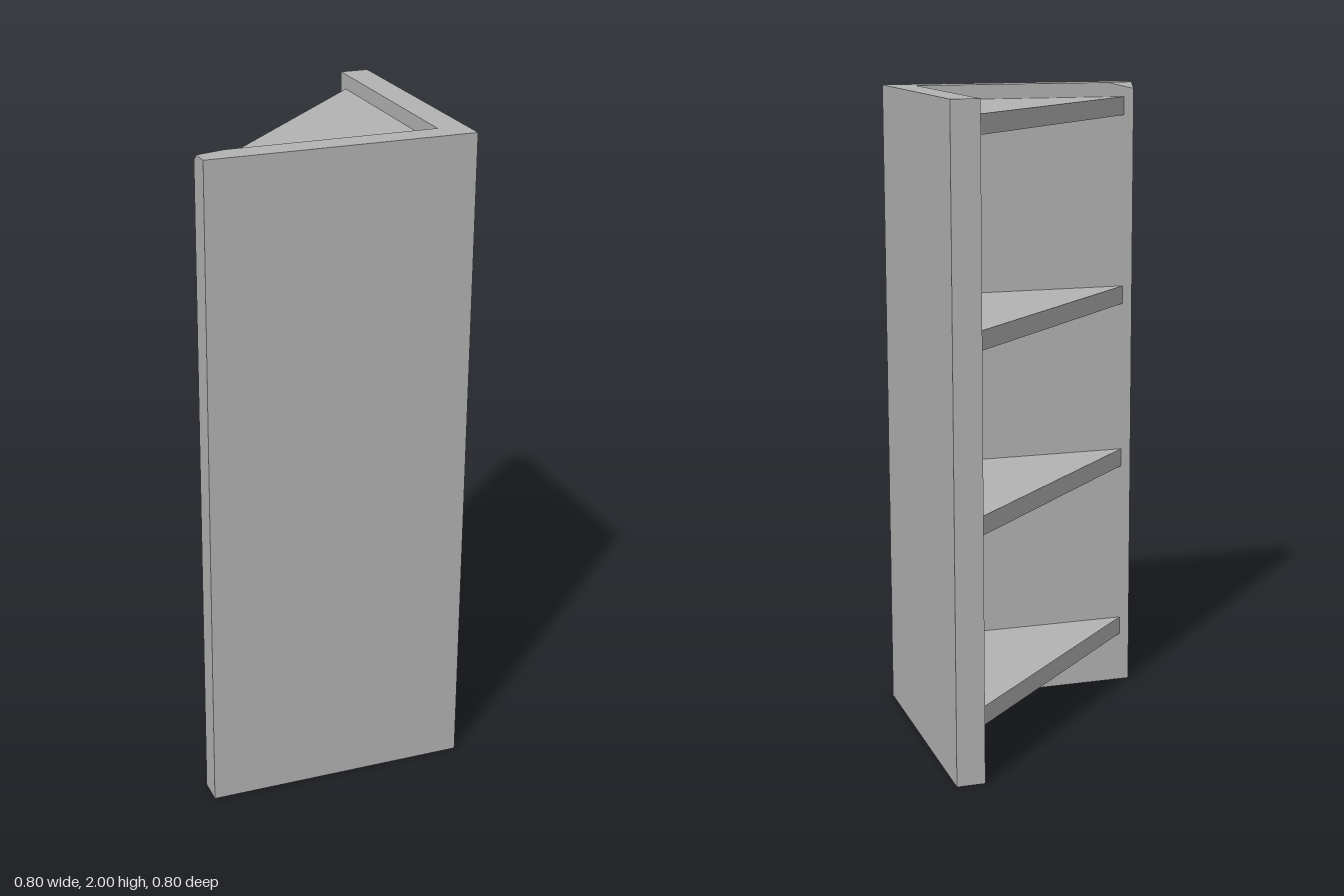
import * as THREE from 'three';
import { ConvexGeometry } from 'three/addons/geometries/ConvexGeometry.js';

export function createModel() {
  const model = new THREE.Group();
  model.name = 'cornerShelf';
  const grey = new THREE.MeshStandardMaterial({ color: 0xb3b3b3 });
  grey.name = 'grey';

  const H = 2, R = 0.4;          // height, half width
  const innerX = 0.313, innerZ = 0.32; // inner faces of the two walls

  const add = (name, geometry) => {
    const mesh = new THREE.Mesh(geometry, grey);
    mesh.name = name;
    model.add(mesh);
    return mesh;
  };

  // side wall, full depth
  add('sideWall', new THREE.BoxGeometry(R - innerX, H, 2 * R))
    .position.set((R + innerX) / 2, H / 2, 0);

  // front wall, with its free upper inner corner chipped off
  const corners = [];
  for (const x of [-R, innerX])
    for (const y of [0, H])
      for (const z of [innerZ, R])
        if (!(x === -R && y === H && z === innerZ)) corners.push(new THREE.Vector3(x, y, z));
  corners.push(
    new THREE.Vector3(-R, H, 0.343),
    new THREE.Vector3(-0.312, H, innerZ),
    new THREE.Vector3(-R, H - 0.02, innerZ)
  );
  add('frontWall', new ConvexGeometry(corners));

  // four triangular shelves fitted into the corner
  const thickness = 0.058, leg = 0.681;
  const triangle = new THREE.Shape([
    new THREE.Vector2(innerX, -innerZ),
    new THREE.Vector2(innerX, leg - innerZ),
    new THREE.Vector2(innerX - leg, -innerZ),
  ]);
  const shelf = new THREE.ExtrudeGeometry(triangle, { depth: thickness, bevelEnabled: false });
  shelf.rotateX(-Math.PI / 2);
  [0.22, 0.803, 1.347, 1.955].forEach((top, i) => {
    add('shelf' + (i + 1), shelf).position.y = top - thickness;
  });

  return model;
}
